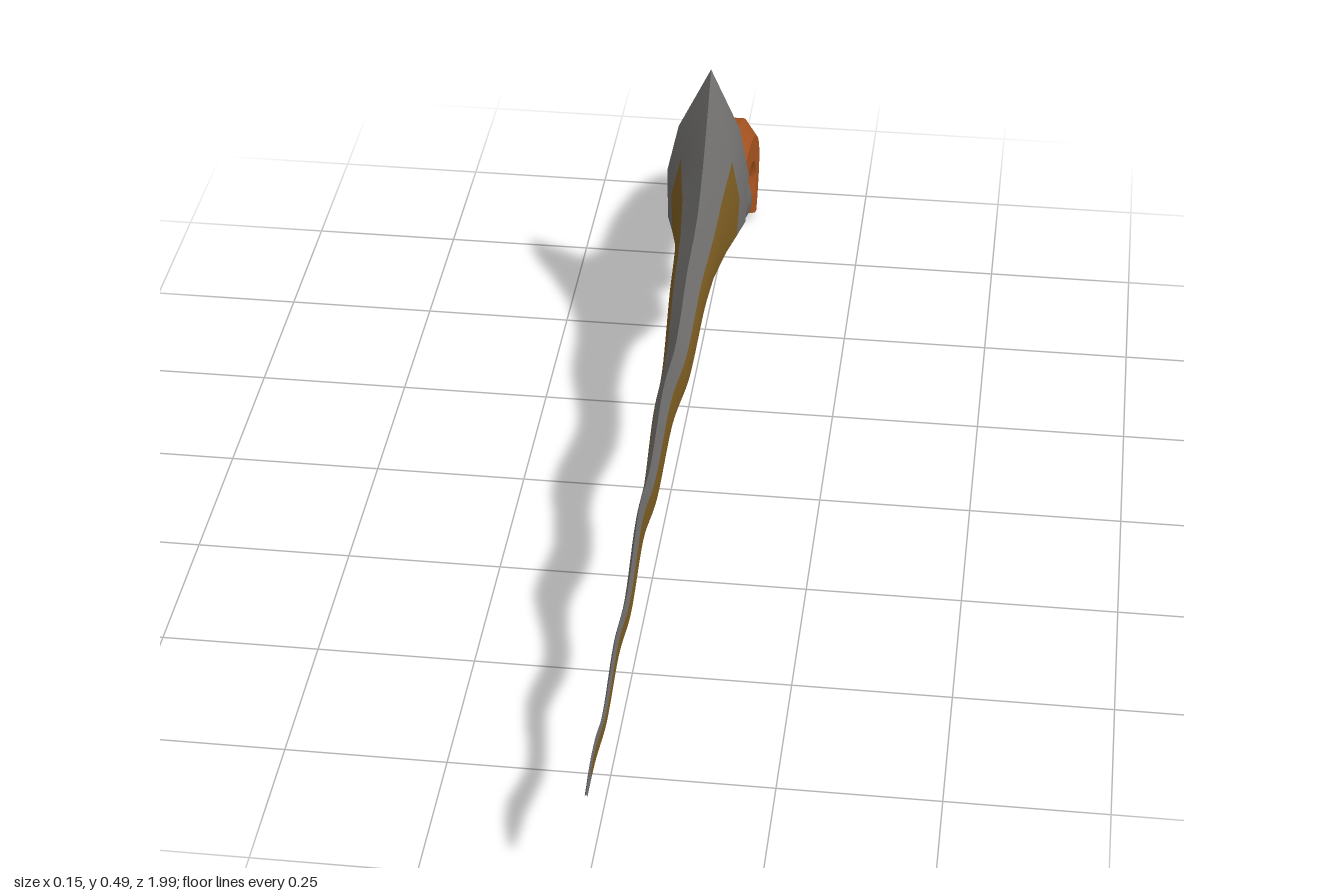
import * as THREE from 'three';
import { toCreasedNormals } from 'three/addons/utils/BufferGeometryUtils.js';

const steel = new THREE.MeshStandardMaterial({ name: 'grey steel', color: 0x6b6a68 });
const bronze = new THREE.MeshStandardMaterial({ name: 'dull bronze', color: 0x785920 });
const wood = new THREE.MeshStandardMaterial({ name: 'red-brown wood', color: 0xa5521f });

// Skin a list of closed rings; keep(row, column) picks which quads are built
function loft(rings, crease, keep = () => true) {
  const n = rings[0].length;
  const index = [];
  for (let i = 0; i < rings.length - 1; i++) {
    for (let j = 0; j < n; j++) {
      if (!keep(i, j)) continue;
      const a = i * n + j, b = i * n + (j + 1) % n;
      index.push(a, b, a + n, b, b + n, a + n);
    }
  }
  const geo = new THREE.BufferGeometry().setFromPoints(rings.flat());
  geo.setIndex(index);
  return toCreasedNormals(geo, crease);
}

function addMesh(group, name, geometry, material) {
  const mesh = new THREE.Mesh(geometry, material);
  mesh.name = name;
  group.add(mesh);
  return mesh;
}

// Faceted section: spine edge on top, cutting edge below, flat flanks between
const SIDE = [[0, 0], [0.27, 0.75], [0.48, 1], [0.7, 0.95], [1, 0]];
const AROUND = [...SIDE, ...SIDE.slice(1, 4).reverse().map(([t, x]) => [t, -x])];
function bladeRing(zTop, zBottom, top, bottom, w) {
  return AROUND.map(([t, x]) => new THREE.Vector3(
    x * w, THREE.MathUtils.lerp(top, bottom, t), THREE.MathUtils.lerp(zTop, zBottom, t)));
}

function halfWidth(z) {
  if (z > 0.4) return 0.002 + 0.005 * (1 - z) / 0.6;
  if (z > 0) return 0.007 + 0.012 * (0.4 - z) / 0.4;
  return 0.019 - 0.017 * z / 0.33;
}

function buildBlade(group) {
  // Wavy outline: z, upper edge, lower edge
  const outline = new THREE.CatmullRomCurve3([
    [1, 0.17, 0.163], [0.96, 0.19, 0.158], [0.91, 0.196, 0.154], [0.81, 0.175, 0.137],
    [0.68, 0.208, 0.16], [0.55, 0.195, 0.138], [0.41, 0.25, 0.168], [0.27, 0.235, 0.145],
    [0.11, 0.272, 0.175], [-0.07, 0.25, 0.147], [-0.23, 0.293, 0.185], [-0.32, 0.3, 0.185],
  ].map((p) => new THREE.Vector3(...p)));
  const rings = outline.getPoints(66).map((p) => bladeRing(p.x, p.x, p.y, p.z, halfWidth(p.x)));

  // Flare into the guard, with a slanted rim
  rings.push(
    bladeRing(-0.38, -0.37, 0.315, 0.165, 0.039),
    bladeRing(-0.45, -0.42, 0.362, 0.14, 0.046),
    bladeRing(-0.52, -0.465, 0.43, 0.117, 0.06),
  );
  const rimRow = rings.length - 1;
  rings.push(bladeRing(-0.57, -0.49, 0.49, 0.105, 0.072));

  // Hollow back of the guard
  rings.push(
    bladeRing(-0.55, -0.487, 0.45, 0.13, 0.058),
    bladeRing(-0.46, -0.44, 0.32, 0.18, 0.028),
    bladeRing(-0.45, -0.45, 0.235, 0.235, 0),
  );

  const isFlank = (i, j) => i >= 6 && i < rimRow && [1, 2, 5, 6].includes(j);
  addMesh(group, 'bladeEdgesAndGuard', loft(rings, 0.5, (i, j) => !isFlank(i, j)), steel);
  addMesh(group, 'bladeFlanks', loft(rings, 0.5, isFlank), bronze);
}

function buildHandle(group) {
  // Curved grip: z, y and half thickness along its centre line
  const spine = new THREE.CatmullRomCurve3([
    [-0.6, 0.216, 0.052], [-0.7, 0.209, 0.053], [-0.79, 0.196, 0.052], [-0.87, 0.165, 0.054],
    [-0.925, 0.105, 0.066], [-0.91, 0.05, 0.058], [-0.895, 0.014, 0.038],
  ].map(([z, y, h]) => new THREE.Vector3(h, y, z)));
  const octagon = [[0.025, 1], [0.05, 0.45], [0.05, -0.45], [0.025, -1],
    [-0.025, -1], [-0.05, -0.45], [-0.05, 0.45], [-0.025, 1]];
  const steps = 28;
  const rings = [];
  for (let i = 0; i <= steps; i++) {
    const p = spine.getPoint(i / steps);
    const t = spine.getTangent(i / steps);
    const len = Math.hypot(t.y, t.z);
    rings.push(octagon.map(([x, s]) => new THREE.Vector3(
      x, p.y - s * p.x * t.z / len, p.z + s * p.x * t.y / len)));
  }
  const end = spine.getPoint(1);
  rings.push(octagon.map(() => new THREE.Vector3(0, end.y, end.z)));
  addMesh(group, 'grip', loft(rings, 0.55), wood);
}

export function createModel() {
  const model = new THREE.Group();
  model.name = 'wavyDagger';
  buildBlade(model);

  // Ball between guard and grip, with a short neck reaching into the hollow
  const ball = addMesh(model, 'ball', new THREE.SphereGeometry(0.073, 12, 10), steel);
  ball.position.set(0, 0.222, -0.588);
  const neck = addMesh(model, 'neck', new THREE.CylinderGeometry(0.03, 0.045, 0.12, 12), steel);
  neck.rotation.x = Math.PI / 2;
  neck.position.set(0, 0.23, -0.5);

  buildHandle(model);
  return model;
}
